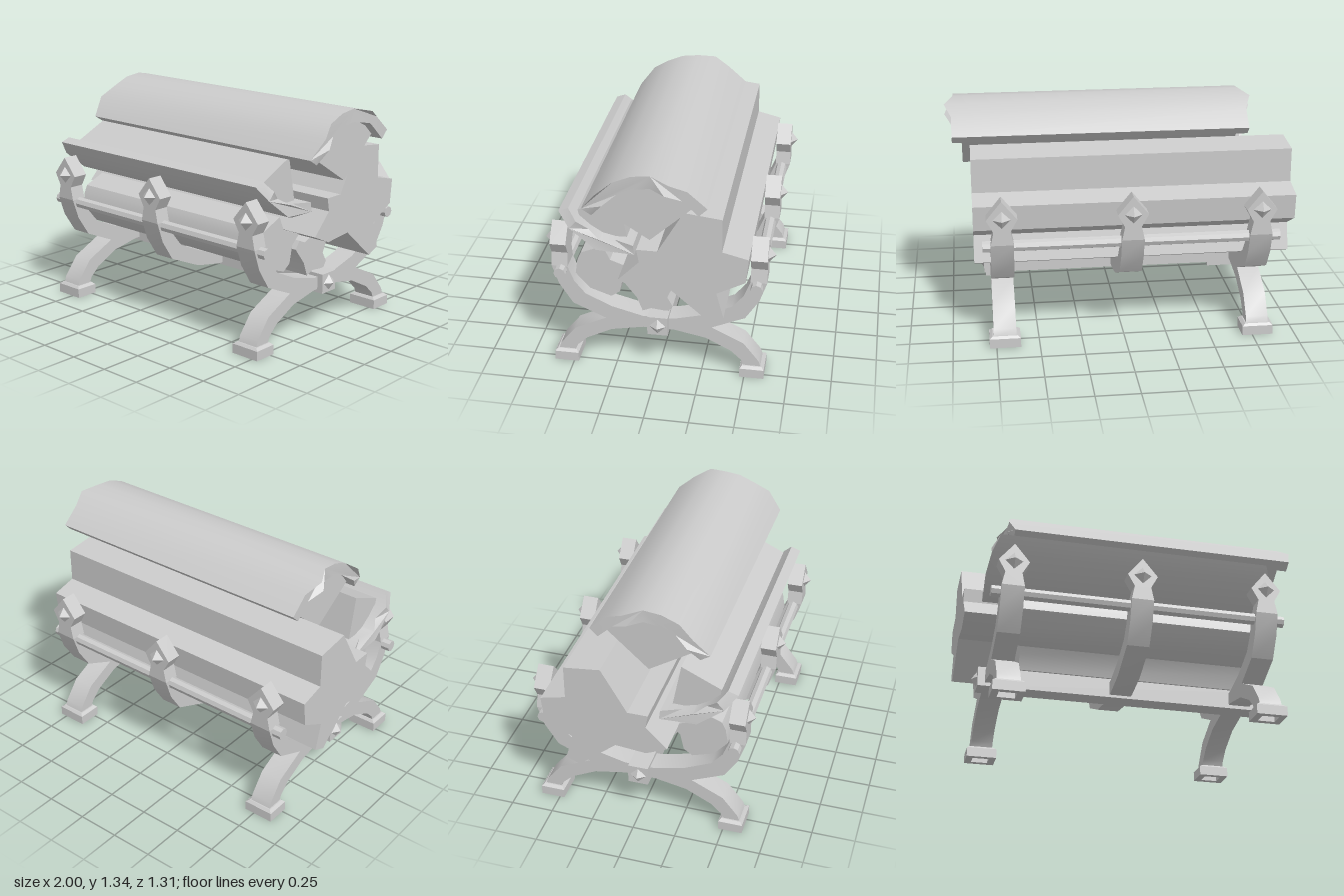
import * as THREE from 'three';
import { toCreasedNormals } from 'three/addons/utils/BufferGeometryUtils.js';

const grey = new THREE.MeshStandardMaterial({ color: 0xcccccc });

function add(parent, name, geo) {
  const mesh = new THREE.Mesh(toCreasedNormals(geo, 0.55), grey);
  mesh.name = name;
  parent.add(mesh);
  return mesh;
}

const shapeOf = pts => new THREE.Shape(pts.map(p => new THREE.Vector2(p[0], p[1])));

// Extrude a [z, y] profile along x from x0 to x1
function alongX(pts, x0, x1) {
  const g = new THREE.ExtrudeGeometry(shapeOf(pts), { depth: x1 - x0, bevelEnabled: false });
  return g.rotateY(-Math.PI / 2).translate(x1, 0, 0);
}

// Curved bark slab whose ends are pushed outwards by a ragged amount per profile point
function bark(outer, inner, rag, x0, x1) {
  const pts = [...outer, ...[...inner].reverse()];
  const push = [...rag, ...rag.slice(0, inner.length).reverse()];
  const g = alongX(pts, x0, x1);
  const pos = g.attributes.position, mid = (x0 + x1) / 2;
  for (let i = 0; i < pos.count; i++) {
    let best = 0, dist = Infinity;
    pts.forEach((p, k) => {
      const d = Math.hypot(p[0] - pos.getZ(i), p[1] - pos.getY(i));
      if (d < dist) { dist = d; best = k; }
    });
    pos.setX(i, pos.getX(i) + Math.sign(pos.getX(i) - mid) * push[best]);
  }
  g.computeVertexNormals();
  return g;
}

// Firewood
function buildWood() {
  const wood = new THREE.Group();
  wood.name = 'firewood';

  // Top split log: bark and wedge
  const topInner = [[0.324, 1.082], [0.26, 1.16], [0.185, 1.217], [0.096, 1.256],
    [0.004, 1.267], [-0.078, 1.256], [-0.167, 1.214], [-0.256, 1.132]];
  add(wood, 'topLogBark', bark(
    [[0.38, 1.117], [0.295, 1.224], [0.206, 1.288], [0.107, 1.33],
      [0.004, 1.342], [-0.1, 1.32], [-0.196, 1.27], [-0.302, 1.178]],
    topInner, [0, 0.035, 0, 0, 0, 0.05, 0.01, 0.01], -0.75, 0.95));
  add(wood, 'topLogWedge', alongX(
    [[0.299, 1.11], ...topInner.slice(1, 7), [-0.228, 1.157], [0.018, 0.932]], -0.71, 0.905));

  // Front split log, bark facing down
  const frontInner = [[0.509, 0.989], [0.459, 0.929], [0.395, 0.872], [0.327, 0.829],
    [0.25, 0.811], [0.139, 0.804]];
  add(wood, 'frontLogBark', bark(
    [[0.566, 0.968], [0.5, 0.883], [0.43, 0.815], [0.349, 0.765], [0.26, 0.733], [0.132, 0.747]],
    frontInner, [0, 0.04, 0.01, 0.05, 0, 0.04], -0.855, 0.73));
  add(wood, 'frontLogWedge', alongX(
    [[0.466, 0.961], ...frontInner.slice(1, 5), [0.189, 0.812], [0.238, 1.068]], -0.82, 0.69));

  // Large split log at the back
  add(wood, 'largeBackLog', alongX([[-0.16, 1.089], [-0.37, 1.064], [-0.37, 0.865], [-0.516, 0.829],
    [-0.502, 0.683], [-0.342, 0.598], [-0.384, 0.441], [-0.306, 0.406], [-0.089, 0.594],
    [0.089, 0.577], [0.21, 0.633], [0.089, 0.758], [0.103, 0.836], [-0.014, 0.836]], -1, 0.86));

  // Small logs underneath
  add(wood, 'lowerFrontLog', alongX([[0.327, 0.744], [0.288, 0.658], [0.153, 0.609], [0.214, 0.552],
    [0.235, 0.452], [0.285, 0.416], [0.41, 0.459], [0.491, 0.552], [0.477, 0.644], [0.456, 0.69]], -0.76, 0.7));
  add(wood, 'bottomLog', alongX([[-0.018, 0.584], [-0.078, 0.53], [-0.043, 0.452], [-0.075, 0.395],
    [-0.05, 0.359], [0.05, 0.37], [0.1, 0.349], [0.132, 0.434], [0.206, 0.53], [0.174, 0.576],
    [0.128, 0.555], [0.075, 0.573], [0.03, 0.562]], -0.66, 0.72));
  return wood;
}

// One side of a frame; it faces +z and is turned for the back
function buildHalfFrame(hasLeg) {
  const half = new THREE.Group();
  half.name = hasLeg ? 'armAndLeg' : 'arm';
  const w = 0.065;
  const arm = [[0, 0.342], [0.09, 0.342], [0.267, 0.388], [0.42, 0.459], [0.484, 0.537], [0.52, 0.63],
    [0.612, 0.63], [0.572, 0.51], [0.495, 0.39]];
  const leg = [[0.306, 0.306], [0.49, 0.217], [0.58, 0.103], [0.594, 0.06], [0.498, 0.06],
    [0.48, 0.1], [0.42, 0.157], [0.274, 0.231], [0.09, 0.267], [0, 0.267]];
  const noLeg = [[0.274, 0.295], [0.09, 0.262], [0, 0.262]];
  add(half, 'curvedArm', alongX([...arm, ...(hasLeg ? leg : noLeg)], -w, w));

  // Diamond head with a neck
  const head = new THREE.ExtrudeGeometry(shapeOf([[-w, 0.63], [w, 0.63], [0.048, 0.71],
    [0.088, 0.782], [0, 0.89], [-0.088, 0.782], [-0.048, 0.71]]), { depth: 0.092, bevelEnabled: false });
  add(half, 'diamondHead', head.translate(0, 0, 0.52));
  add(half, 'headStud', new THREE.ConeGeometry(0.052, 0.042, 4)
    .rotateX(Math.PI / 2).translate(0, 0.782, 0.632));

  if (hasLeg) {
    // Foot with a hollow underside and a bevelled top
    const sole = shapeOf([[-0.09, -0.07], [0.09, -0.07], [0.09, 0.07], [-0.09, 0.07]]);
    sole.holes.push(new THREE.Path([[-0.05, -0.038], [-0.05, 0.038], [0.05, 0.038], [0.05, -0.038]]
      .map(p => new THREE.Vector2(p[0], p[1]))));
    const foot = new THREE.ExtrudeGeometry(sole, { depth: 0.056, bevelEnabled: false });
    add(half, 'foot', foot.rotateX(-Math.PI / 2).translate(0, 0, 0.543));
    const top = new THREE.CylinderGeometry(0.8 * Math.SQRT1_2, Math.SQRT1_2, 0.014, 4).rotateY(Math.PI / 4);
    add(half, 'footTop', top.scale(0.18, 1, 0.14).translate(0, 0.062, 0.543));
  }
  return half;
}

function buildRack() {
  const rack = new THREE.Group();
  rack.name = 'rack';

  // Three frames, the middle one without legs
  [[-0.78, true], [-0.04, false], [0.7, true]].forEach(([x, hasLeg]) => {
    for (const turn of [0, Math.PI]) {
      const half = buildHalfFrame(hasLeg);
      half.position.x = x;
      half.rotation.y = turn;
      rack.add(half);
    }
  });

  // Central bar with pointed ends
  add(rack, 'centreBar', new THREE.BoxGeometry(1.69, 0.116, 0.118).translate(-0.043, 0.304, 0));
  for (const s of [-1, 1]) {
    add(rack, 'barEndStud', new THREE.ConeGeometry(0.048, 0.034, 4)
      .rotateZ(-s * Math.PI / 2).translate(-0.043 + s * 0.861, 0.304, 0));
    // Side rods
    add(rack, 'sideRod', new THREE.CylinderGeometry(0.034, 0.034, 1.71, 8)
      .rotateZ(Math.PI / 2).translate(-0.043, 0.607, s * 0.557));
  }
  return rack;
}

export function createModel() {
  const model = new THREE.Group();
  model.name = 'firewoodRack';
  model.add(buildRack(), buildWood());
  return model;
}
